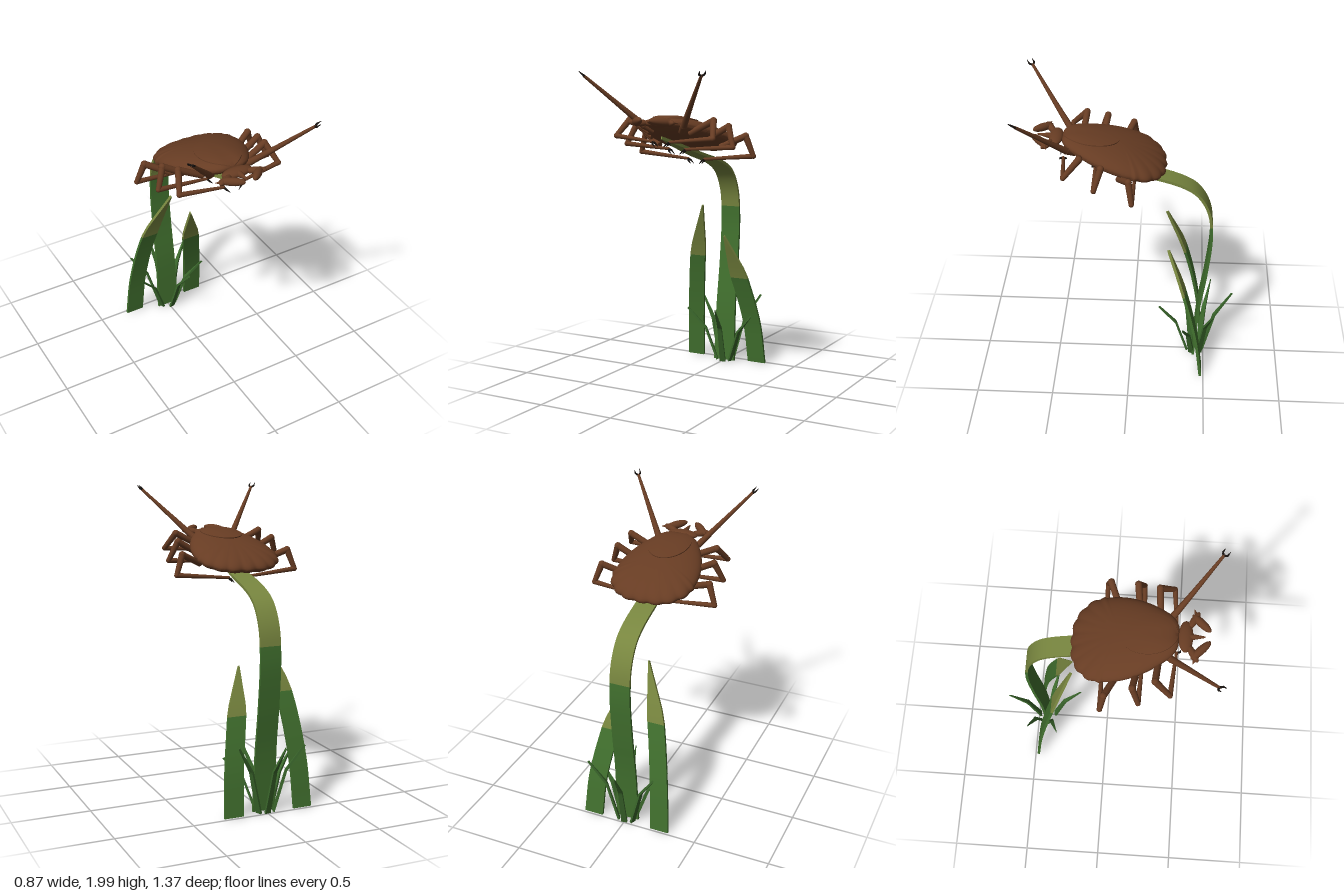
import * as THREE from 'three';
import { toCreasedNormals } from 'three/addons/utils/BufferGeometryUtils.js';

const V = (x, y, z) => new THREE.Vector3(x, y, z);

// Skin closed loops of points, listed anticlockwise around the direction of travel
function loft(rings, crease = 0.7) {
  const n = rings[0].length, pos = [], idx = [];
  rings.forEach(r => r.forEach(p => pos.push(p.x, p.y, p.z)));
  for (let i = 0; i < rings.length - 1; i++) {
    for (let j = 0; j < n; j++) {
      const a = i * n + j, b = i * n + (j + 1) % n;
      idx.push(a, b, b + n, a, b + n, a + n);
    }
  }
  const g = new THREE.BufferGeometry();
  g.setAttribute('position', new THREE.Float32BufferAttribute(pos, 3));
  g.setIndex(idx);
  return toCreasedNormals(g, crease);
}

// Linear lookup in a table of [key, value] pairs
function lookup(table, k) {
  if (k <= table[0][0]) return table[0][1];
  for (let i = 1; i < table.length; i++) {
    const [k0, v0] = table[i - 1], [k1, v1] = table[i];
    if (k <= k1) return v0 + (v1 - v0) * (k - k0) / (k1 - k0 || 1);
  }
  return table[table.length - 1][1];
}

// Flat leaf blade between curve parameters t0 and t1; half width depends on height
function blade(curve, widths, thick, W, t0 = 0, t1 = 1, steps = 28) {
  const rings = [];
  for (let i = 0; i <= steps; i++) {
    const t = t0 + (t1 - t0) * i / steps;
    const c = curve.getPoint(t), N = curve.getTangent(t).cross(W).normalize();
    const w = lookup(widths, c.y);
    rings.push([[1, -1], [1, 1], [-1, 1], [-1, -1]].map(([a, b]) =>
      c.clone().addScaledVector(W, a * w).addScaledVector(N, b * thick)));
  }
  const cap = t => Array(4).fill(curve.getPoint(t));
  return loft([cap(t0), ...rings, cap(t1)]);
}

export function createModel() {
  const mat = (name, color) => {
    const m = new THREE.MeshStandardMaterial({ color });
    m.name = name;
    return m;
  };
  const brown = mat('brown shell', 0x673c23);
  const black = mat('black claw', 0x17120f);
  const green = mat('leaf green', 0x41702e);
  const olive = mat('olive leaf tip', 0x78863f);
  const grassGreen = mat('grass green', 0x3b682c);

  const model = new THREE.Group();
  const add = (parent, name, geo, m) => {
    const mesh = new THREE.Mesh(geo, m);
    mesh.name = name;
    parent.add(mesh);
    return mesh;
  };

  // Large blades: green below the break height, olive above
  const bigBlades = [
    ['mainBlade', 1.075, [[0, 0.01, -0.43], [0, 0.4, -0.455], [0, 0.7, -0.495], [0, 1, -0.518], [0, 1.19, -0.495],
      [0, 1.32, -0.42], [0, 1.388, -0.31], [0, 1.475, 0], [0, 1.55, 0.26], [0, 1.595, 0.41]],
      [[0, 0.077], [0.5, 0.07], [1.44, 0.066], [1.54, 0.035], [1.595, 0.004]]],
    ['rightBlade', 0.745, [[-0.247, 0.01, -0.48], [-0.226, 0.35, -0.442], [-0.168, 0.75, -0.355], [-0.065, 1.11, -0.23]],
      [[0, 0.062], [0.75, 0.057], [0.84, 0.05], [1.11, 0.003]]],
    ['leftBlade', 0.615, [[0.225, 0.01, -0.48], [0.205, 0.3, -0.438], [0.15, 0.62, -0.352], [0.09, 0.91, -0.245]],
      [[0, 0.064], [0.62, 0.062], [0.69, 0.054], [0.91, 0.003]]],
  ];
  for (const [name, split, pts, widths] of bigBlades) {
    const curve = new THREE.CatmullRomCurve3(pts.map(p => V(...p)));
    let ts = 0;
    while (curve.getPoint(ts).y < split) ts += 0.002;
    const X = V(1, 0, 0);
    add(model, name + 'Lower', blade(curve, widths, 0.009, X, 0, ts), green);
    add(model, name + 'Upper', blade(curve, widths, 0.009, X, ts, 1), olive);
  }

  // Kinked grass tuft around the foot of the main blade: foot x, z and tip
  const tuft = [
    [0, -0.49, -0.03, 0.48, -0.68], [0.05, -0.47, 0.22, 0.47, -0.55], [-0.05, -0.47, -0.23, 0.44, -0.54],
    [0.05, -0.42, 0.24, 0.36, -0.35], [-0.05, -0.42, -0.24, 0.37, -0.34], [0.01, -0.385, 0.05, 0.41, -0.19],
  ];
  for (const [fx, fz, x, y, z] of tuft) {
    const dx = x - fx, dz = z - fz;
    const curve = new THREE.CatmullRomCurve3([V(fx, 0.01, fz), V(fx + dx * 0.4, y * 0.63, fz + dz * 0.4),
      V(x, y, z)], false, 'catmullrom', 0);
    const W = V(dz, 0, -dx).normalize();
    add(model, 'grassBlade', blade(curve, [[0, 0.02], [y * 0.63, 0.014], [y, 0.001]], 0.007, W, 0, 1, 12), grassGreen);
  }

  // Body outline as radius by angle from the front, with a scalloped rear rim
  const half = [[0, 0.335], [0.07, 0.33], [0.125, 0.295], [0.185, 0.21], [0.235, 0.105], [0.264, 0], [0.27, -0.1],
    [0.248, -0.2], [0.19, -0.272], [0.12, -0.312], [0, -0.326]];
  const outline = new THREE.CatmullRomCurve3(half.map(([x, z]) => V(x, 0, z))).getPoints(120)
    .map(p => [Math.atan2(p.x, p.z), Math.hypot(p.x, p.z)]);
  const radius = a => {
    const t = Math.abs(Math.atan2(Math.sin(a), Math.cos(a)));
    return lookup(outline, t) + (t > 2 ? 0.011 * Math.abs(Math.cos((Math.PI - t) * 11)) : 0);
  };
  const topHeight = s => 0.083 * Math.pow(Math.max(0, 1 - s * s), 0.5);

  const body = new THREE.Group();
  body.name = 'body';
  body.position.set(0, 1.597, 0.1);
  body.rotation.x = -0.29;
  model.add(body);
  const SEG = 192, angles = Array.from({ length: SEG }, (_, j) => j * 2 * Math.PI / SEG);
  const shell = [];
  for (let k = -12; k <= 12; k++) {
    const s = Math.cos(k / 12 * Math.PI / 2);
    const y = k < 0 ? -0.8 * topHeight(s) : topHeight(s);
    shell.push(angles.map(a => V(s * radius(a) * Math.sin(a), y, s * radius(a) * Math.cos(a))));
  }
  add(body, 'shell', loft(shell, 0.9), brown);

  // Raised oval shield following the curve of the back
  const shield = [];
  for (let k = 0; k <= 11; k++) {
    const f = k === 0 ? 1 : 1 - (k - 1) / 10;
    shield.push(angles.map(a => {
      const x = f * 0.13 * Math.sin(a), z = 0.164 + f * 0.17 * Math.cos(a);
      const s = Math.hypot(x, z) / radius(Math.atan2(x, z));
      return V(x, topHeight(s) + (k === 0 ? -0.006 : 0.006), z);
    }));
  }
  add(body, 'shield', loft(shield), brown);

  // Tapered rod and stretched ball between two points
  const up = V(0, 1, 0);
  const rod = (parent, name, a, b, r0, r1, m) => {
    const d = b.clone().sub(a);
    const mesh = add(parent, name, new THREE.CylinderGeometry(r1, r0, d.length(), 12), m);
    mesh.position.copy(a).add(b).multiplyScalar(0.5);
    mesh.quaternion.setFromUnitVectors(up, d.normalize());
  };
  const lobe = (parent, name, a, b, r, m) => {
    const d = b.clone().sub(a);
    const mesh = add(parent, name, new THREE.SphereGeometry(1, 18, 12), m);
    mesh.scale.set(r, d.length() / 2, r);
    mesh.position.copy(a).add(b).multiplyScalar(0.5);
    mesh.quaternion.setFromUnitVectors(up, d.normalize());
  };

  // Head and mouthparts
  const head = new THREE.Group();
  head.name = 'head';
  model.add(head);
  const base = add(head, 'headBase', new THREE.SphereGeometry(1, 24, 14), brown);
  base.scale.set(0.1, 0.026, 0.044);
  base.position.set(0, 1.685, 0.46);
  rod(head, 'mouthTube', V(0, 1.685, 0.47), V(0, 1.698, 0.575), 0.024, 0.004, brown);
  for (const s of [1, -1]) {
    lobe(head, 'palpBase', V(s * 0.05, 1.685, 0.475), V(s * 0.158, 1.692, 0.535), 0.022, brown);
    lobe(head, 'palp', V(s * 0.14, 1.69, 0.495), V(s * 0.03, 1.708, 0.605), 0.025, brown);
    rod(head, 'palpSpur', V(s * 0.12, 1.692, 0.525), V(s * 0.173, 1.692, 0.505), 0.019, 0.001, brown);
  }

  // Four pairs of jointed legs with paired claws
  const legs = [
    ['frontLeg', [[0.1, 1.63, 0.34], [0.14, 1.665, 0.385], [0.235, 1.775, 0.48], [0.4, 1.965, 0.64]], [0.2, 0.25, 0.2]],
    ['secondLeg', [[0.14, 1.62, 0.31], [0.295, 1.7, 0.295], [0.34, 1.597, 0.388], [0.06, 1.57, 0.415]], [-0.7, -0.7, 0.2]],
    ['thirdLeg', [[0.2, 1.585, 0.185], [0.33, 1.66, 0.165], [0.38, 1.537, 0.205], [0.06, 1.515, 0.22]], [-0.7, -0.7, 0.1]],
    ['rearLeg', [[0.22, 1.525, 0.065], [0.365, 1.595, 0], [0.41, 1.47, -0.02], [0.06, 1.437, -0.025]], [-0.7, -0.7, 0]],
  ];
  for (const s of [1, -1]) {
    for (const [name, pts, dir] of legs) {
      const leg = new THREE.Group();
      leg.name = name;
      model.add(leg);
      const p = pts.map(([x, y, z]) => V(s * x, y, z));
      const r = [0.02, 0.021, 0.016, 0.009];
      for (let i = 0; i < 3; i++) {
        rod(leg, 'legSegment', p[i], p[i + 1], r[i], r[i + 1], brown);
        const joint = add(leg, 'joint', new THREE.SphereGeometry(r[i + 1] * 1.05, 12, 8), brown);
        joint.position.copy(p[i + 1]);
      }
      const d = V(s * dir[0], dir[1], dir[2]).normalize();
      const side = name === 'frontLeg' ? V(s * 0.6, 0, -0.8) : V(0, 0, 1);
      for (const k of [1, -1]) {
        const mid = p[3].clone().addScaledVector(d, 0.015).addScaledVector(side, k * 0.018);
        const tip = p[3].clone().addScaledVector(d, 0.045).addScaledVector(side, k * 0.018);
        rod(leg, 'claw', p[3], mid, 0.007, 0.006, black);
        rod(leg, 'claw', mid, tip, 0.006, 0.001, black);
      }
    }
  }
  return model;
}
